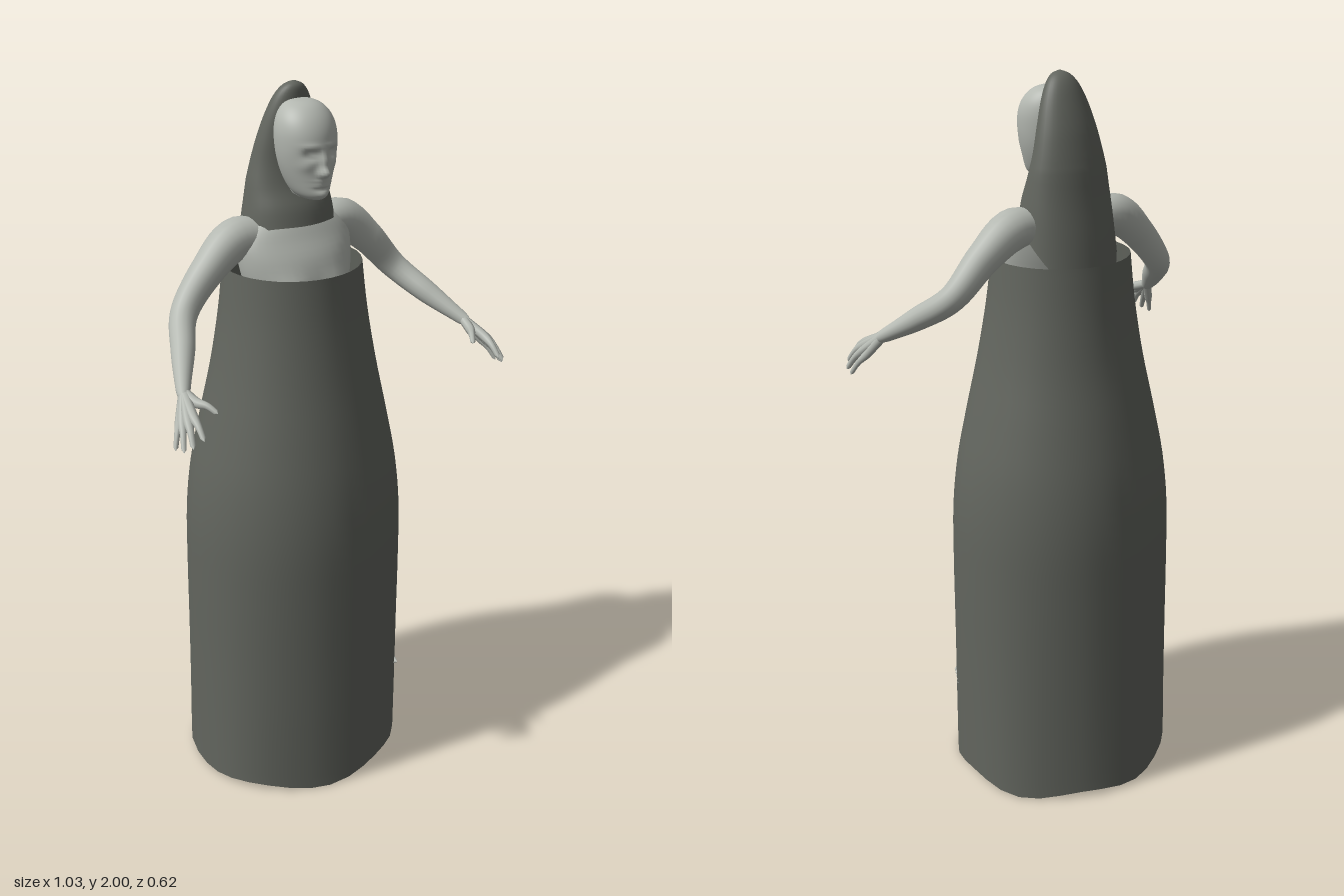
import * as THREE from 'three';

const skin = new THREE.MeshStandardMaterial({ color: 0xb4b8b1 });
skin.name = 'pale skin';
const cloth = new THREE.MeshStandardMaterial({ color: 0x62655e, side: THREE.DoubleSide });
cloth.name = 'dark cloth';

// Smooth value at t (0..1) through a list of numbers
function spline(v, t) {
  const f = t * (v.length - 1), i = Math.min(Math.floor(f), v.length - 2), k = f - i;
  const at = (n) => v[Math.max(0, Math.min(v.length - 1, n))];
  const a = (at(i + 1) - at(i - 1)) / 2, b = (at(i + 2) - at(i)) / 2;
  const d = at(i) - at(i + 1);
  return at(i) + k * (a + k * (-3 * d - 2 * a - b + k * (2 * d + a + b)));
}

// Skin over horizontal rings [y, halfWidth, zFront, zBack], listed upwards
function loft(name, material, rings, rows, segs, rule) {
  const pos = [], index = [], p = new THREE.Vector3();
  for (let i = 0; i <= rows; i++) {
    const [y, w, zf, zb] = [0, 1, 2, 3].map((c) => spline(rings.map((r) => r[c]), i / rows));
    for (let j = 0; j < segs; j++) {
      const a = (j / segs) * Math.PI * 2;
      p.set(w * Math.sin(a), y, (zf + zb) / 2 + ((zf - zb) / 2) * Math.cos(a));
      if (rule) rule(p, a);
      pos.push(p.x, p.y, p.z);
      if (i < rows) {
        const k = i * segs + j, n = i * segs + ((j + 1) % segs);
        index.push(k, n, k + segs, n, n + segs, k + segs);
      }
    }
  }
  const g = new THREE.BufferGeometry();
  g.setAttribute('position', new THREE.Float32BufferAttribute(pos, 3));
  g.setIndex(index);
  g.computeVertexNormals();
  const mesh = new THREE.Mesh(g, material);
  mesh.name = name;
  return mesh;
}

// Tapered round limb through points [x, y, z, radius] with rounded ends
function limb(name, pts, rows = 20, segs = 12, cap = 0.06) {
  const curve = new THREE.CatmullRomCurve3(pts.map((q) => new THREE.Vector3(q[0], q[1], q[2])));
  const g = new THREE.TubeGeometry(curve, rows, 1, segs);
  const at = g.attributes.position, v = new THREE.Vector3();
  for (let i = 0; i <= rows; i++) {
    const u = i / rows, c = curve.getPointAt(u);
    const e = Math.min(1, Math.min(u, 1 - u) / cap);
    const r = spline(pts.map((q) => q[3]), curve.getUtoTmapping(u)) * Math.sqrt(1 - (1 - e) ** 2);
    for (let j = 0; j <= segs; j++) {
      const k = i * (segs + 1) + j;
      v.fromBufferAttribute(at, k).sub(c).multiplyScalar(r).add(c);
      at.setXYZ(k, v.x, v.y, v.z);
    }
  }
  const mesh = new THREE.Mesh(g, skin);
  mesh.name = name;
  return mesh;
}

const bump = (p, x, y, wx, wy) => Math.exp(-(((Math.abs(p.x) - x) / wx) ** 2) - ((p.y - y) / wy) ** 2);

// Face relief: [x, y, widthX, widthY, depth], mirrored left and right
const features = [
  [0, 1.795, 0.012, 0.013, 0.02], [0, 1.822, 0.009, 0.022, 0.013], [0.012, 1.79, 0.006, 0.007, 0.006],
  [0.031, 1.84, 0.016, 0.011, -0.014], [0.031, 1.839, 0.011, 0.005, 0.007], [0.03, 1.861, 0.022, 0.006, 0.004],
  [0, 1.767, 0.02, 0.008, 0.009], [0, 1.767, 0.022, 0.0025, -0.007], [0, 1.753, 0.02, 0.004, -0.005],
  [0, 1.738, 0.018, 0.008, 0.005], [0.045, 1.812, 0.015, 0.014, 0.004],
];

function makeArm(s) {
  const arm = new THREE.Group();
  arm.name = s > 0 ? 'leftArm' : 'rightArm';
  const m = (list) => list.map(([x, ...r]) => [x * s, ...r]);
  arm.add(limb('armLimb', m([
    [0.09, 1.61, -0.015, 0.045], [0.165, 1.613, -0.02, 0.055], [0.25, 1.55, -0.015, 0.045],
    [0.335, 1.455, 0.002, 0.036], [0.39, 1.39, 0.085, 0.031], [0.442, 1.332, 0.172, 0.019],
    [0.457, 1.315, 0.2, 0.018],
  ]), 36, 18));
  // Palm bones side by side, then the fingers
  const fingers = [
    ['littleFinger', [0.48, 1.272, 0.215], [0.513, 1.213, 0.25], 0.0075],
    ['ringFinger', [0.482, 1.277, 0.235], [0.507, 1.218, 0.282], 0.0085],
    ['middleFinger', [0.475, 1.285, 0.25], [0.492, 1.232, 0.302], 0.009],
    ['indexFinger', [0.463, 1.293, 0.255], [0.467, 1.25, 0.311], 0.009],
    ['thumb', [0.435, 1.312, 0.225], [0.405, 1.293, 0.273], 0.009],
  ];
  for (const [name, k, t, r] of fingers) {
    const mid = k.map((c, i) => (c + t[i]) / 2 + (i === 1 ? 0.006 : 0));
    arm.add(limb(name, m([
      [0.445, 1.328, 0.18, 0.013], [...k, r * 1.45], [...mid, r], [...t, r * 0.8],
    ]), 16, 8, 0.08));
  }
  return arm;
}

function makeLeg(s) {
  const leg = new THREE.Group();
  leg.name = s > 0 ? 'leftLeg' : 'rightLeg';
  const shift = s > 0 ? 0 : 0.025;
  const m = (list) => list.map(([x, ...r]) => [x * s + shift, ...r]);
  leg.add(limb('legLimb', m([
    [0.085, 0.97, -0.01, 0.085], [0.11, 0.8, 0, 0.078], [0.15, 0.62, 0.005, 0.052],
    [0.175, 0.48, -0.015, 0.05], [0.195, 0.33, -0.02, 0.028], [0.2, 0.28, -0.015, 0.028],
  ]), 28, 16));
  leg.add(limb('foot', m([
    [0.185, 0.275, -0.045, 0.025], [0.208, 0.278, 0.015, 0.032],
    [0.235, 0.265, 0.08, 0.028], [0.252, 0.253, 0.118, 0.016],
  ]), 20, 14, 0.12));
  for (let i = 0; i < 5; i++) {
    const k = i / 4;
    leg.add(limb('toe', m([
      [0.225 + 0.02 * k, 0.258, 0.1 - 0.03 * k, 0.012], [0.245 + 0.03 * k, 0.257, 0.14 - 0.045 * k, 0.01],
      [0.264 + 0.034 * k, 0.25, 0.175 - 0.072 * k, 0.01 - 0.003 * k],
    ]), 10, 8, 0.15));
  }
  return leg;
}

export function createModel() {
  const model = new THREE.Group();
  model.name = 'gownedFigure';

  // Long open gown with a softly rippled hem
  const gown = loft('gown', cloth, [
    [0.01, 0.315, 0.286, -0.306], [0.22, 0.313, 0.288, -0.304], [0.42, 0.312, 0.288, -0.303],
    [0.62, 0.312, 0.288, -0.302], [0.8, 0.309, 0.285, -0.299], [0.95, 0.293, 0.27, -0.284],
    [1.1, 0.262, 0.243, -0.256], [1.25, 0.229, 0.212, -0.224], [1.4, 0.203, 0.186, -0.202],
    [1.53, 0.188, 0.17, -0.19],
  ], 36, 32, (p, a) => {
    const low = Math.max(0, 1 - p.y / 0.9);
    const k = 1 + 0.014 * low * Math.cos(6 * a);
    p.x = p.x * k + 0.004;
    p.z *= k;
    p.y += 0.01 * Math.max(0, 1 - p.y / 0.2) * Math.sin(5 * a);
  });
  model.add(gown);

  // Pointed hood, its hem hanging lower at the back
  model.add(loft('hood', cloth, [
    [1.645, 0.136, 0.078, -0.152], [1.69, 0.128, 0.066, -0.135], [1.74, 0.116, 0.042, -0.112],
    [1.8, 0.101, 0.028, -0.098], [1.86, 0.086, 0.026, -0.083], [1.92, 0.068, 0.026, -0.062],
    [1.965, 0.048, 0.025, -0.042], [1.99, 0.026, 0.02, -0.022], [2.0, 0.001, 0.003, 0.001],
  ], 32, 36, (p, a) => {
    const back = ((1 - Math.cos(a)) / 2) ** 2;
    if (p.y < 1.75) p.y = 1.75 - (1.75 - p.y) * (1 + 1.9 * back);
  }));

  // Head with sculpted face
  model.add(loft('head', skin, [
    [1.72, 0.003, 0.095, 0.085], [1.723, 0.025, 0.122, 0.04], [1.737, 0.042, 0.134, 0.01],
    [1.77, 0.058, 0.135, -0.01], [1.81, 0.071, 0.136, -0.02], [1.85, 0.078, 0.138, -0.025],
    [1.89, 0.079, 0.132, -0.025], [1.922, 0.071, 0.117, -0.02], [1.946, 0.053, 0.094, -0.01],
    [1.958, 0.029, 0.068, 0.005], [1.961, 0.001, 0.036, 0.034],
  ], 72, 72, (p, a) => {
    const front = Math.max(0, Math.cos(a));
    let dz = 0;
    for (const [x, y, wx, wy, d] of features) dz += d * bump(p, x, y, wx, wy);
    p.z += dz * Math.min(1, front * 2);
  }));
  model.add(limb('neck', [[0, 1.58, -0.02, 0.055], [0, 1.66, -0.005, 0.048], [0, 1.77, 0.02, 0.045]], 12, 16));

  // Torso from hips to shoulders
  model.add(loft('torso', skin, [
    [0.84, 0.02, 0.02, -0.02], [0.88, 0.13, 0.065, -0.09], [0.97, 0.172, 0.085, -0.115],
    [1.08, 0.16, 0.09, -0.105], [1.24, 0.112, 0.085, -0.06], [1.38, 0.128, 0.1, -0.075],
    [1.47, 0.148, 0.122, -0.085], [1.55, 0.166, 0.108, -0.09], [1.61, 0.165, 0.075, -0.08],
    [1.65, 0.125, 0.052, -0.062], [1.67, 0.06, 0.035, -0.045], [1.675, 0.002, 0, -0.005],
  ], 48, 40, (p, a) => {
    if (Math.cos(a) > 0) p.z += 0.026 * bump(p, 0.075, 1.465, 0.05, 0.05) * Math.cos(a);
  }));

  for (const s of [1, -1]) model.add(makeArm(s), makeLeg(s));
  return model;
}
